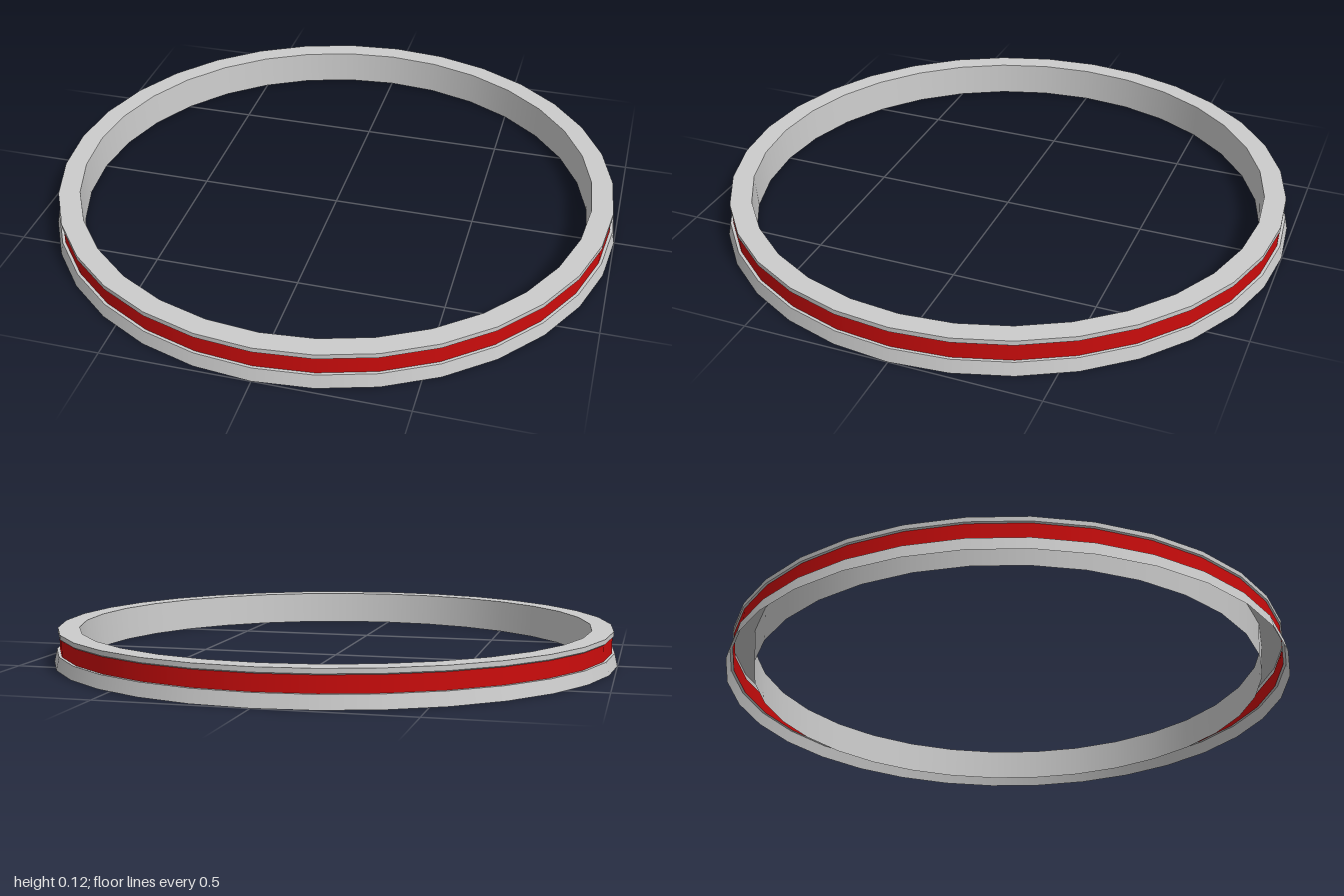
import * as THREE from 'three';

const SIDES = 32;

export function createModel() {
  const ring = new THREE.Group();
  ring.name = 'ring';

  const grey = new THREE.MeshStandardMaterial({ color: 0xcccccc, side: THREE.DoubleSide });
  const red = new THREE.MeshStandardMaterial({ color: 0xcc0c0c, side: THREE.DoubleSide });

  // One straight step of the profile, turned around y; separate steps keep the edges sharp
  function addBand(name, from, to, material) {
    const points = [new THREE.Vector2(...from), new THREE.Vector2(...to)];
    const mesh = new THREE.Mesh(new THREE.LatheGeometry(points, SIDES), material);
    mesh.name = name;
    ring.add(mesh);
  }

  // Profile [radius, height] from the outer foot, over the top, down the inside; the underside is open
  addBand('lowerBand', [1, 0], [0.99, 0.045], grey);
  addBand('lowerLedge', [0.99, 0.045], [0.98, 0.045], grey);
  addBand('redStripe', [0.98, 0.045], [0.98, 0.1], red);
  addBand('rimLip', [0.98, 0.1], [0.985, 0.104], grey);
  addBand('rimEdge', [0.985, 0.104], [0.985, 0.12], grey);
  addBand('topFace', [0.985, 0.12], [0.91, 0.12], grey);
  addBand('innerWall', [0.91, 0.12], [0.903, 0], grey);

  return ring;
}
